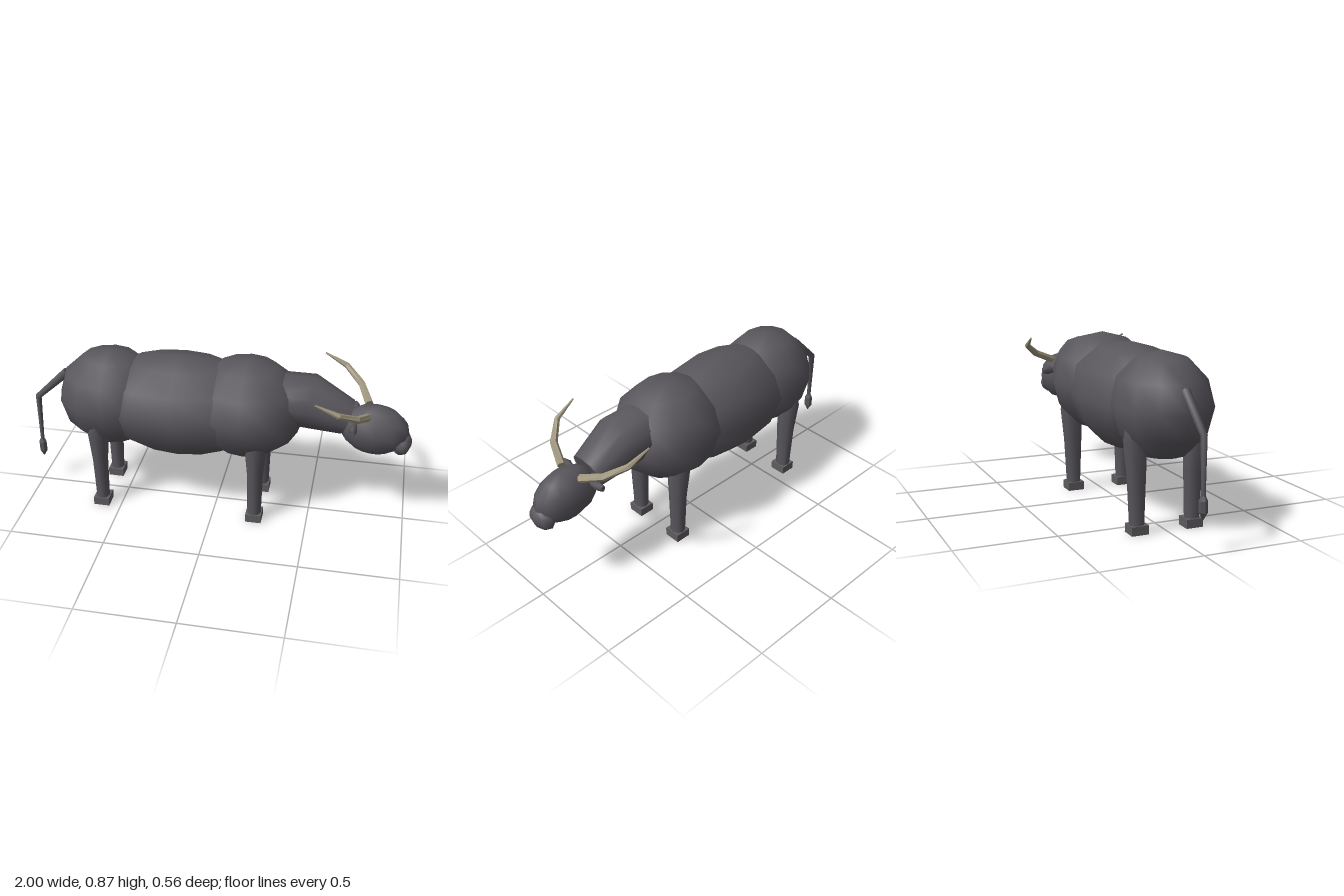
import * as THREE from 'three';

const hide = new THREE.MeshStandardMaterial({ color: 0x59565c });
hide.name = 'grey hide';
const hoofMat = new THREE.MeshStandardMaterial({ color: 0x5e5b5e });
hoofMat.name = 'hoof grey';
const hornMat = new THREE.MeshStandardMaterial({ color: 0xa0977f });
hornMat.name = 'horn tan';

// Skin rings [x, y, z, radiusAcross, radiusAlongRef] along a path, with closed ends
function loft(rings, sides, ref, flat = false) {
  const pts = rings.map((r) => new THREE.Vector3(r[0], r[1], r[2]));
  const pos = [], idx = [];
  const last = rings.length - 1;
  rings.forEach((r, i) => {
    const t = pts[Math.min(i + 1, last)].clone().sub(pts[Math.max(i - 1, 0)]).normalize();
    const u = ref.clone().cross(t).normalize();
    const v = t.clone().cross(u);
    for (let j = 0; j < sides; j++) {
      const a = (j / sides) * Math.PI * 2;
      const p = pts[i].clone()
        .addScaledVector(u, Math.cos(a) * r[3])
        .addScaledVector(v, Math.sin(a) * (r[4] ?? r[3]));
      pos.push(p.x, p.y, p.z);
    }
  });
  for (let i = 0; i < last; i++) {
    for (let j = 0; j < sides; j++) {
      const k = (j + 1) % sides;
      const a = i * sides + j, b = i * sides + k;
      idx.push(a, b, a + sides, b, b + sides, a + sides);
    }
  }
  // End caps use their own vertices so the rims stay sharp
  for (const [ring, flip] of [[0, true], [last, false]]) {
    const start = pos.length / 3;
    pos.push(...pos.slice(ring * sides * 3, (ring + 1) * sides * 3));
    pos.push(...pts[ring].toArray());
    for (let j = 0; j < sides; j++) {
      const a = start + j, b = start + (j + 1) % sides, c = start + sides;
      idx.push(...(flip ? [b, a, c] : [a, b, c]));
    }
  }
  let g = new THREE.BufferGeometry();
  g.setAttribute('position', new THREE.Float32BufferAttribute(pos, 3));
  g.setIndex(idx);
  if (flat) g = g.toNonIndexed();
  g.computeVertexNormals();
  return g;
}

export function createModel() {
  const model = new THREE.Group();
  model.name = 'buffalo';
  const X = new THREE.Vector3(1, 0, 0);
  const Y = new THREE.Vector3(0, 1, 0);
  const Z = new THREE.Vector3(0, 0, 1);

  function add(name, geometry, material) {
    const mesh = new THREE.Mesh(geometry, material);
    mesh.name = name;
    model.add(mesh);
    return mesh;
  }

  function ellipsoid(name, centre, radii, w = 12, h = 6, tilt = 0) {
    const mesh = add(name, new THREE.SphereGeometry(1, w, h), hide);
    mesh.position.set(...centre);
    mesh.scale.set(...radii);
    mesh.rotation.z = tilt;
  }

  // Body masses
  ellipsoid('rump', [-0.56, 0.594, 0], [0.28, 0.261, 0.24]);
  ellipsoid('barrel', [-0.19, 0.583, 0], [0.5, 0.272, 0.267]);
  ellipsoid('chest', [0.155, 0.602, 0], [0.305, 0.263, 0.269]);

  // Neck sloping down to the head
  add('neck', loft([
    [0.3, 0.68, 0, 0.12, 0.14],
    [0.47, 0.665, 0, 0.14, 0.14],
    [0.668, 0.592, 0, 0.09, 0.1],
  ], 12, Z), hide);

  // Head and muzzle
  ellipsoid('head', [0.808, 0.535, 0], [0.178, 0.134, 0.106], 12, 6, -0.12);
  ellipsoid('muzzle', [0.95, 0.472, 0], [0.05, 0.062, 0.078], 8, 6, -0.2);

  for (const s of [1, -1]) {
    const side = s > 0 ? 'right' : 'left';

    // Swept-back horns
    add(side + 'Horn', loft([
      [0.768, 0.64, 0.07 * s, 0.021],
      [0.72, 0.688, 0.185 * s, 0.019],
      [0.635, 0.745, 0.262 * s, 0.015],
      [0.52, 0.8, 0.277 * s, 0.004],
    ], 6, Y, true), hornMat);

    // Ears
    add(side + 'Ear', loft([
      [0.71, 0.587, 0.06 * s, 0.012],
      [0.703, 0.587, 0.115 * s, 0.025, 0.022],
      [0.7, 0.587, 0.15 * s, 0.017, 0.013],
    ], 6, X), hide);

    // Legs and hooves
    for (const [name, x] of [['front', 0.225], ['rear', -0.603]]) {
      add(`${name}Leg ${side}`, loft([
        [x, 0.04, 0.145 * s, 0.036, 0.039],
        [x, 0.28, 0.147 * s, 0.042, 0.05],
        [x, 0.45, 0.155 * s, 0.057, 0.06],
        [x, 0.52, 0.16 * s, 0.03, 0.045],
      ], 8, Z), hide);
      const hoof = add(`${name}Hoof ${side}`, new THREE.BoxGeometry(0.083, 0.044, 0.088), hoofMat);
      hoof.position.set(x, 0.022, 0.143 * s);
    }
  }

  // Tail with a tuft
  add('tail', loft([
    [-0.8, 0.7, 0, 0.024, 0.022],
    [-0.974, 0.535, 0, 0.017],
    [-0.98, 0.25, 0, 0.01],
  ], 8, Z), hide);
  add('tailTuft', loft([
    [-0.98, 0.272, 0, 0.008],
    [-0.98, 0.245, 0, 0.021],
    [-0.98, 0.192, 0, 0.021],
    [-0.98, 0.157, 0, 0.001],
  ], 6, Z, true), hide);

  return model;
}
